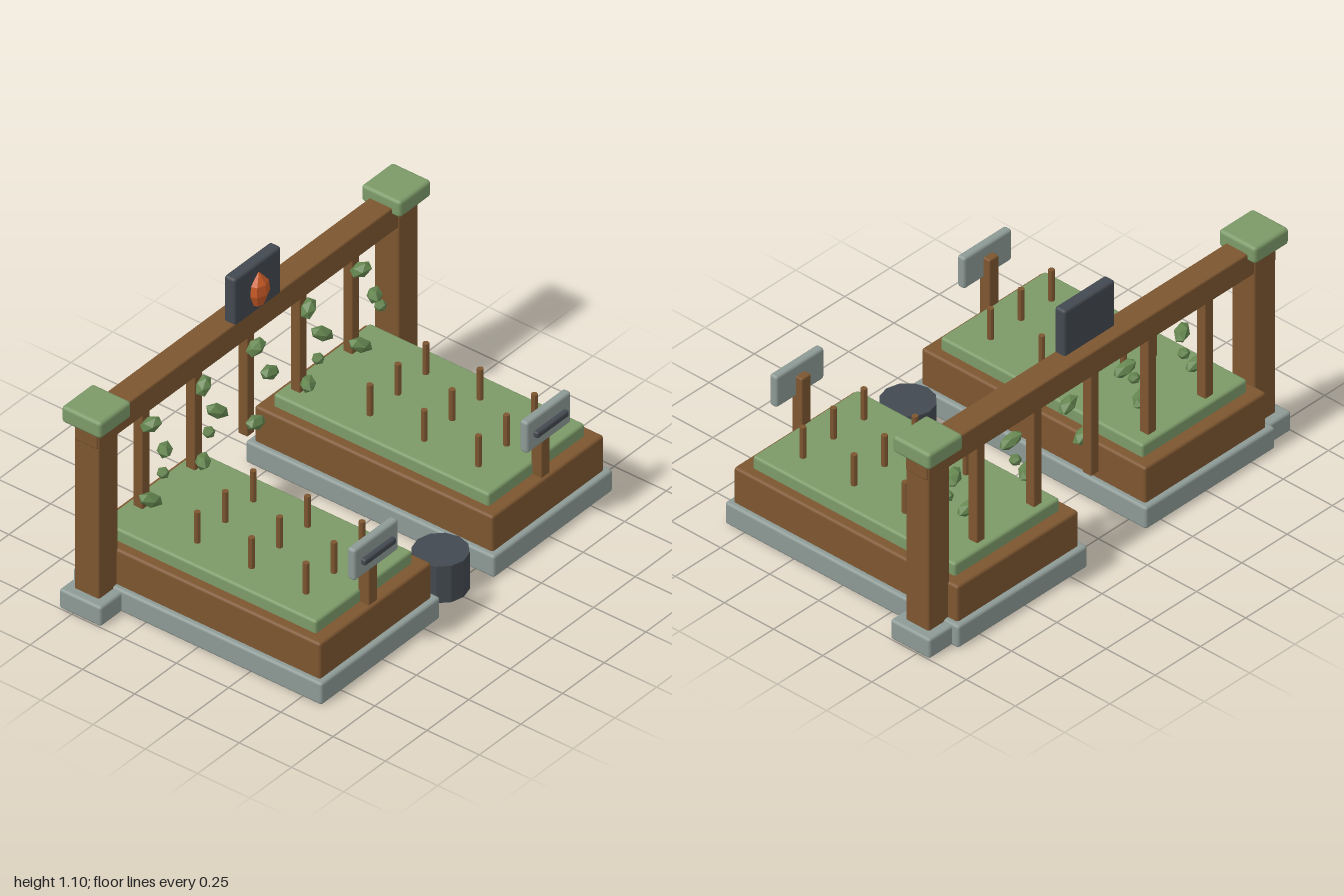
import * as THREE from 'three';
import { RoundedBoxGeometry } from 'three/addons/geometries/RoundedBoxGeometry.js';

const material = (name, color) => {
  const m = new THREE.MeshStandardMaterial({ color });
  m.name = name;
  return m;
};

// Split the faces so that each one gets its own flat normal
const faceted = (geometry) => {
  const g = geometry.index ? geometry.toNonIndexed() : geometry;
  g.computeVertexNormals();
  return g;
};

export function createModel() {
  const wood = material('wood', 0x7d5630);
  const moss = material('mossGreen', 0x7c9a68);
  const leafGreen = material('leafGreen', 0x64854f);
  const stone = material('stone', 0x8d9a96);
  const iron = material('darkIron', 0x434950);
  const amber = material('amber', 0xc85a26);

  const model = new THREE.Group();
  model.name = 'gardenBeds';

  const add = (parent, name, geometry, mat, x, y, z) => {
    const mesh = new THREE.Mesh(geometry, mat);
    mesh.name = name;
    mesh.position.set(x, y, z);
    parent.add(mesh);
    return mesh;
  };
  // Softly bevelled box given by centre x, z and its bottom and top heights
  const box = (parent, name, mat, x, z, w, d, y0, y1, r = 0.012) =>
    add(parent, name, new RoundedBoxGeometry(w, y1 - y0, d, 2, r), mat, x, (y0 + y1) / 2, z);

  const backZ = -0.462;

  for (const side of [-1, 1]) {
    const label = side > 0 ? 'left' : 'right';

    // Raised planting bed
    const bed = new THREE.Group();
    bed.name = label + 'Bed';
    bed.position.x = side * 0.518;
    model.add(bed);
    box(bed, 'stoneBase', stone, 0, 0, 0.715, 1.19, 0, 0.1);
    box(bed, 'woodenSides', wood, 0, 0, 0.67, 1.14, 0.09, 0.26);
    box(bed, 'plantedTop', moss, 0, 0, 0.58, 1.03, 0.24, 0.315);

    // Three rows of stakes
    const stakeGeometry = faceted(new THREE.CylinderGeometry(0.013, 0.013, 0.165, 8));
    for (const x of [-0.168, 0, 0.168])
      for (const z of [-0.15, 0.11, 0.37]) add(bed, 'stake', stakeGeometry, wood, x, 0.3725, z);

    // Sign at the front of the bed
    box(bed, 'signPost', wood, 0, 0.532, 0.052, 0.052, 0.25, 0.53, 0.006);
    box(bed, 'signBoard', stone, 0, 0.556, 0.265, 0.038, 0.437, 0.58);
    box(bed, 'signBar', iron, 0, 0.583, 0.19, 0.025, 0.495, 0.523, 0.008);

    // Corner post with foot and cap
    const post = new THREE.Group();
    post.name = label + 'Post';
    post.position.set(side * 0.9, 0, backZ);
    model.add(post);
    box(post, 'foot', stone, 0, 0, 0.2, 0.2, 0, 0.09);
    box(post, 'shaft', wood, 0, 0, 0.118, 0.118, 0.08, 0.88, 0.008);
    box(post, 'cap', moss, 0, 0, 0.19, 0.188, 0.86, 0.935, 0.015);
  }

  // Overhead beam
  box(model, 'beam', wood, 0, backZ, 1.93, 0.11, 0.78, 0.892, 0.008);

  // Hanging slats with leaves: offset x, y, half length, tilt
  const leafGeometry = new THREE.IcosahedronGeometry(1, 0);
  const leaves = [
    [-0.042, 0.745, 0.046, 0.55],
    [0.04, 0.582, 0.056, -0.35],
    [-0.045, 0.398, 0.058, -0.3],
  ];
  for (let i = 0; i < 5; i++) {
    const x = (i - 2) * 0.315;
    box(model, 'slat', wood, x, backZ, 0.045, 0.045, 0.29, 0.8, 0.005);
    leaves.forEach(([dx, y, length, tilt], k) => {
      const leaf = add(model, 'leaf', leafGeometry, leafGreen, x + dx, y, -0.382);
      const turn = i === 2 ? 0 : (k === 1 ? 0.5 : -0.5) * (i % 2 ? -1 : 1);
      leaf.scale.set(length, 0.029, 0.032);
      leaf.rotation.set(0.35, turn, tilt);
    });
  }

  // Small buds between the leaves
  for (const [x, y] of [[-0.6, 0.48], [-0.325, 0.512], [0.33, 0.48], [0.705, 0.512]])
    add(model, 'bud', leafGeometry, leafGreen, x, y, -0.382).scale.set(0.026, 0.024, 0.026);

  // Plaque with a cut gem on the beam
  box(model, 'plaque', iron, 0, -0.432, 0.28, 0.053, 0.88, 1.097);
  const profile = [[0, -1], [0.55, -0.8], [1, -0.15], [0.9, 0.4], [0, 1]];
  const gem = add(
    model, 'gem',
    faceted(new THREE.LatheGeometry(profile.map(([r, y]) => new THREE.Vector2(r, y)), 7)),
    amber, 0, 0.98, -0.402
  );
  gem.scale.set(0.05, 0.08, 0.036);

  // Round bucket between the beds
  add(model, 'bucket', faceted(new THREE.CylinderGeometry(0.11, 0.11, 0.168, 12)), iron, 0, 0.084, 0.468);

  return model;
}
